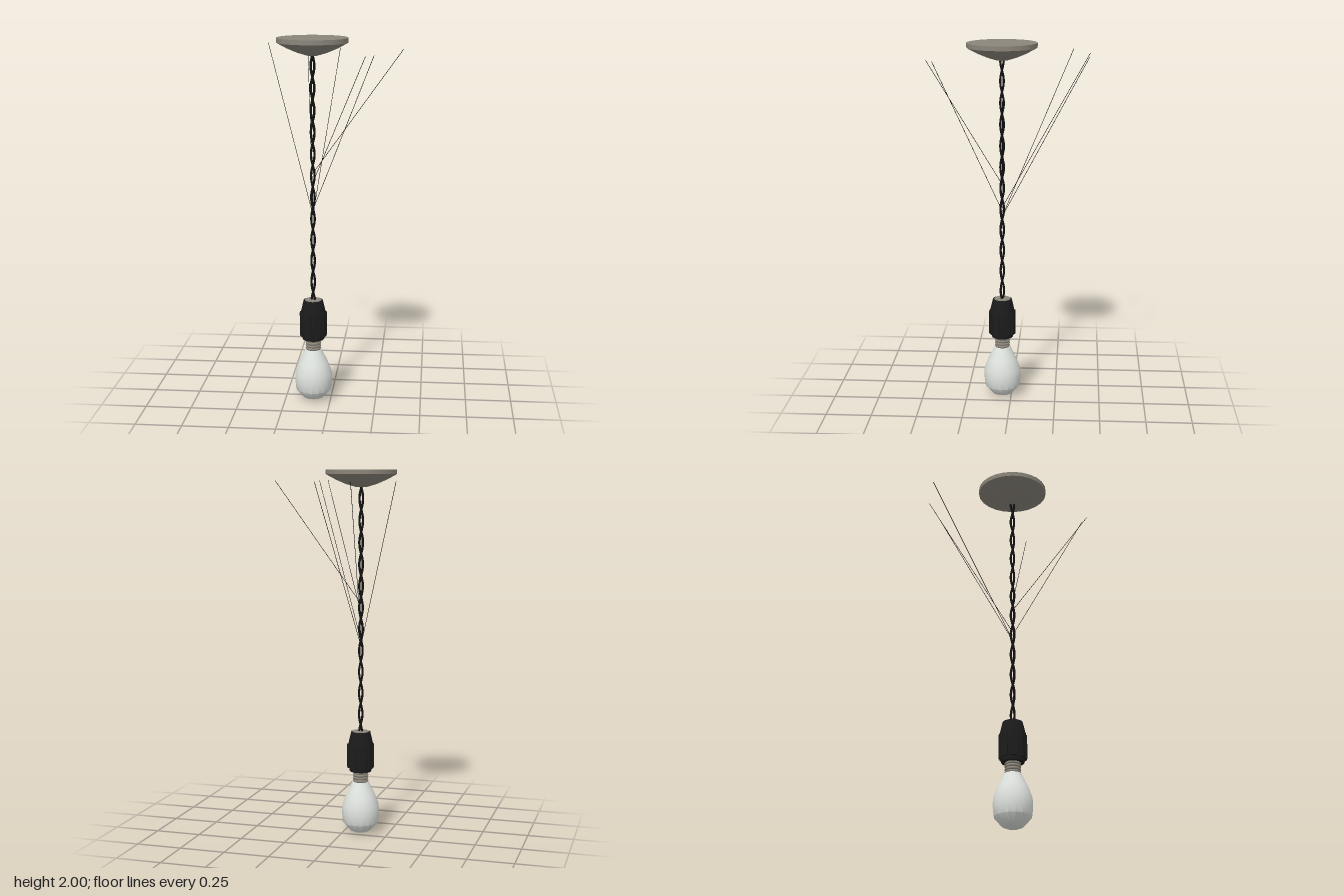
import * as THREE from 'three';
import { toCreasedNormals } from 'three/addons/utils/BufferGeometryUtils.js';

const material = (name, color) => new THREE.MeshStandardMaterial({ name, color });

export function createModel() {
  const model = new THREE.Group();
  model.name = 'pendantLamp';

  const metal = material('warm grey metal', 0x8b867b);
  const black = material('black plastic', 0x1c1c1c);
  const cordBlack = material('black cord', 0x111211);
  const glass = material('white glass', 0xdfe3de);

  // Everything except the stay wires hangs on one vertical axis
  const lamp = new THREE.Group();
  lamp.name = 'lamp';
  lamp.position.set(-0.095, 0, 0.05);
  model.add(lamp);

  const add = (name, geometry, mat, parent = lamp) => {
    const mesh = new THREE.Mesh(geometry, mat);
    mesh.name = name;
    parent.add(mesh);
    return mesh;
  };
  // Profile points run from the bottom up as [radius, height]
  const turned = (name, points, sides, mat, crease = 0.5) => {
    const profile = points.map(([r, y]) => new THREE.Vector2(r, y));
    return add(name, toCreasedNormals(new THREE.LatheGeometry(profile, sides), crease), mat);
  };

  // Ceiling canopy
  turned('ceilingCanopy', [
    [0, 1.905], [0.03, 1.907], [0.08, 1.922], [0.135, 1.945],
    [0.19, 1.975], [0.19, 2], [0, 2],
  ], 24, metal);

  // Two twisted cord strands
  const bottom = 0.565, top = 1.915, halfTurns = 11.5;
  for (const phase of [0, Math.PI]) {
    const points = [];
    for (let i = 0; i <= 100; i++) {
      const t = i / 100;
      const a = phase + t * halfTurns * Math.PI;
      points.push(new THREE.Vector3(
        0.0095 * Math.cos(a), bottom + (top - bottom) * t, 0.0095 * Math.sin(a)));
    }
    const path = new THREE.CatmullRomCurve3(points);
    add('cordStrand', new THREE.TubeGeometry(path, 180, 0.0065, 6), cordBlack);
  }

  // Lamp holder with grip ribs and a metal top plate
  turned('lampHolder', [
    [0, 0.352], [0.06, 0.352], [0.068, 0.39], [0.07, 0.5], [0.053, 0.574], [0, 0.574],
  ], 16, black);
  add('holderTopPlate', new THREE.CylinderGeometry(0.046, 0.046, 0.004, 16), metal)
    .position.y = 0.575;
  for (let i = 0; i < 8; i++) {
    const pivot = new THREE.Group();
    pivot.name = 'gripRib';
    pivot.rotation.y = (i + 0.5) * Math.PI / 4;
    const rib = add('ribBar', new THREE.BoxGeometry(0.034, 0.13, 0.016), black, pivot);
    rib.position.set(0, 0.438, 0.065);
    lamp.add(pivot);
  }

  // Screw base with rounded threads
  add('screwBase', new THREE.CylinderGeometry(0.037, 0.037, 0.075, 16), metal)
    .position.y = 0.32;
  for (let i = 0; i < 4; i++) {
    const thread = add('screwThread', new THREE.TorusGeometry(0.036, 0.0075, 6, 16), metal);
    thread.rotation.x = Math.PI / 2;
    thread.position.y = 0.298 + i * 0.016;
  }

  // Bulb with a creased lower cap
  turned('bulb', [
    [0, 0], [0.03, 0.005], [0.057, 0.016], [0.097, 0.062], [0.103, 0.11],
    [0.102, 0.16], [0.082, 0.215], [0.055, 0.27], [0.045, 0.292], [0, 0.292],
  ], 16, glass, 0.6);

  // Stay wires fan up from the cord: [end x, end z, start height]
  for (const [x, z, y] of [
    [-0.38, -0.33, 1.05], [-0.17, -0.42, 1.1], [0.02, -0.415, 1.05],
    [0.38, 0.015, 1.28], [0.245, 0.385, 1.08], [0.205, 0.42, 1.23],
  ]) {
    const start = new THREE.Vector3(-0.095, y, 0.05);
    const end = new THREE.Vector3(x, 1.94, z);
    add('stayWire', new THREE.TubeGeometry(new THREE.LineCurve3(start, end), 1, 0.0014, 5),
      cordBlack, model);
  }
  return model;
}
